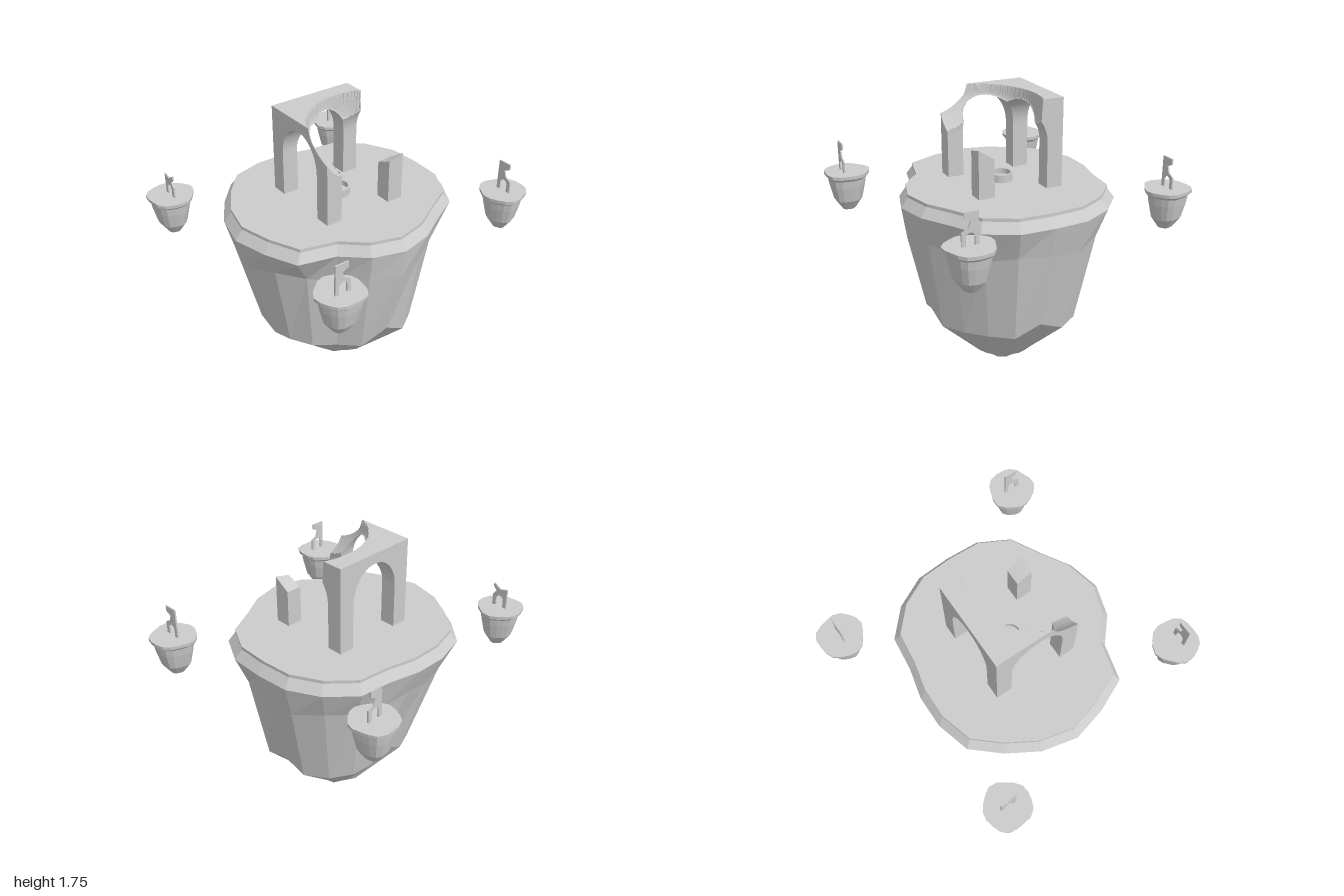
import * as THREE from 'three';

const mat = new THREE.MeshStandardMaterial({ color: 0xcccccc, flatShading: true });
const thinMat = new THREE.MeshStandardMaterial({ color: 0xcccccc, flatShading: true, side: THREE.DoubleSide });

function meshFrom(pos, name) {
  const g = new THREE.BufferGeometry();
  g.setAttribute('position', new THREE.Float32BufferAttribute(pos, 3));
  g.computeVertexNormals();
  const m = new THREE.Mesh(g, mat);
  m.name = name;
  return m;
}

// Push a quad as two triangles, skipping slivers of no area
function quad(pos, a, b, c, d) {
  for (const t of [[a, b, c], [a, c, d]]) {
    const [p, q, r] = t.map((v) => new THREE.Vector3(...v));
    if (q.sub(p).cross(r.sub(p)).length() > 1e-8) pos.push(...t.flat());
  }
}

// Skin between closed rings, listed from top to bottom; each ring maps i to [x, y, z]
function loft(rings, n, name) {
  const pos = [];
  for (let k = 0; k < rings.length - 1; k++) {
    for (let i = 0; i < n; i++) {
      const j = (i + 1) % n;
      quad(pos, rings[k](i), rings[k](j), rings[k + 1](j), rings[k + 1](i));
    }
  }
  return meshFrom(pos, name);
}

const ringOf = (n, radius, height, cx = 0, cz = 0) => (i) => {
  const a = (i / n) * Math.PI * 2;
  return [cx + radius(i) * Math.cos(a), height(i), cz + radius(i) * Math.sin(a)];
};

// Large floating rock: rim, waist and lower shoulder radii every 18 degrees
function mainIsland() {
  const rim = [.685, .655, .605, .73, .72, .742, .725, .71, .725, .68, .645, .63, .71, .72, .72, .70, .725, .72, .655, .67];
  const waist = [.655, .62, .54, .58, .63, .68, .67, .64, .62, .59, .57, .56, .62, .65, .66, .65, .65, .62, .60, .62];
  const low = [.54, .51, .47, .50, .51, .50, .525, .47, .44, .43, .40, .42, .48, .52, .54, .53, .54, .51, .51, .53];
  const lowY = (i) => ({ 0: .44, 5: .29, 10: .40, 15: .40 }[i] ?? .33);
  const n = 20;
  const at = (f, y) => ringOf(n, f, () => y);
  return loft([
    at(() => 0, 1.19),
    at((i) => rim[i] * .935, 1.19),
    at((i) => rim[i] * .935, 1.17),
    at((i) => rim[i], 1.11),
    ringOf(n, (i) => waist[i], (i) => .91 + .02 * Math.sin(i * 2.1)),
    ringOf(n, (i) => low[i], lowY),
    ringOf(n, (i) => .16 + .012 * Math.cos(i * 1.9), () => 0, .015, -.03),
    ringOf(n, () => 0, () => 0, .015, -.03),
  ], n, 'mainIsland');
}

// Vaulted shrine on four legs, with a bowl-shaped bite out of the back right
function ruinedVault() {
  const base = 1.19, roof = 1.755, open = .178, half = .282, cx = .012;
  const legCells = 12, midCells = 48;
  const coords = [];
  for (let k = 0; k < legCells; k++) coords.push(-half + (half - open) * k / legCells);
  for (let k = 0; k <= midCells; k++) coords.push(-open * Math.cos(Math.PI * k / midCells));
  for (let k = 1; k <= legCells; k++) coords.push(open + (half - open) * k / legCells);
  const last = coords.length - 1;
  const arch = (u) => 1.48 + .21 * Math.sqrt(Math.max(0, 1 - (u / open) ** 2));
  const isLeg = (k) => k < legCells || k >= last - legCells;
  const topAt = (x, z) => {
    const h = Math.hypot(x + cx - .27, z + .12) / .43;
    const depth = .31 + 2.6 * (x + cx - .24) * z;
    return h >= 1 ? roof : roof - depth * Math.pow(1 - h * h, .35);
  };
  // Cell corners in order: (x0,z0) (x0,z1) (x1,z1) (x1,z0)
  const makeCell = (i, j) => {
    const pts = [[i, j], [i, j + 1], [i + 1, j + 1], [i + 1, j]].map(([a, b]) => [coords[a], coords[b]]);
    const bot = pts.map(([x, z]) => isLeg(i) && isLeg(j) ? base
      : isLeg(j) ? arch(x) : isLeg(i) ? arch(z) : Math.max(arch(x), arch(z)));
    const top = pts.map(([x, z], k) => Math.max(topAt(x, z), bot[k]));
    return top.some((t, k) => t - bot[k] > .004) ? { pts, bot, top } : null;
  };
  const cells = coords.slice(1).map((_, i) => coords.slice(1).map((__, j) => makeCell(i, j)));
  const pos = [];
  for (let i = 0; i < last; i++) {
    for (let j = 0; j < last; j++) {
      const c = cells[i][j];
      if (!c) continue;
      const p = (k, y) => [c.pts[k][0] + cx, y, c.pts[k][1]];
      quad(pos, ...[0, 1, 2, 3].map((k) => p(k, c.top[k])));
      quad(pos, ...[3, 2, 1, 0].map((k) => p(k, c.bot[k])));
      // Sides: a, b are own corners; na, nb the same corners in the neighbour
      const sides = [[0, 1, 3, 2, -1, 0], [1, 2, 0, 3, 0, 1], [2, 3, 1, 0, 1, 0], [3, 0, 2, 1, 0, -1]];
      for (const [a, b, na, nb, di, dj] of sides) {
        const o = cells[i + di]?.[j + dj];
        const ya = o ? Math.min(o.bot[na], c.top[a]) : c.top[a];
        const yb = o ? Math.min(o.bot[nb], c.top[b]) : c.top[b];
        if (ya < c.bot[a] - 1e-6 || yb < c.bot[b] - 1e-6) continue;
        quad(pos, p(a, c.bot[a]), p(b, c.bot[b]), p(b, yb), p(a, ya));
      }
    }
  }
  return meshFrom(pos, 'ruinedVault');
}

// Shallow round basin under the vault
function basin() {
  const pts = [[.078, 0], [.078, .05], [.065, .05], [.065, .015], [0, .015]].map((p) => new THREE.Vector2(...p));
  const m = new THREE.Mesh(new THREE.LatheGeometry(pts, 32), thinMat);
  m.position.set(.013, 1.19, 0);
  m.name = 'basin';
  return m;
}

// Thin broken archway standing on each small rock
function brokenArch(worn) {
  const crown = worn
    ? [[-.052, .135], [0, .122], [.052, .155], [.052, .13], [.028, .105], [.052, .075]]
    : [[-.05, .195], [.037, .195], [.037, .16], [-.002, .14], [.012, .1], [.052, .08]];
  const s = new THREE.Shape();
  s.moveTo(-.027, 0);
  s.lineTo(-.052, 0);
  crown.forEach(([x, y]) => s.lineTo(x, y));
  s.lineTo(.052, 0);
  s.lineTo(.027, 0);
  s.lineTo(.027, .05);
  s.absarc(0, .05, .027, 0, Math.PI, false);
  s.lineTo(-.027, 0);
  const g = new THREE.ExtrudeGeometry(s, { depth: .01, bevelEnabled: false, curveSegments: 8 });
  g.translate(0, 0, -.005);
  const m = new THREE.Mesh(g, thinMat);
  m.name = 'brokenArch';
  return m;
}

// Small floating rock: overhanging rim slab above a rounded, tapering body
function smallIsland(seed) {
  const n = 18, group = new THREE.Group();
  const wob = (i) => 1 + .04 * Math.sin(i * Math.PI * 2 * 5 / n + seed) + .03 * Math.sin(i * Math.PI * 2 * 3 / n + seed * 2);
  const profile = [[0, 1.19], [.146, 1.19], [.144, 1.168], [.124, 1.15], [.116, 1.1], [.092, 1.0], [.045, .933], [0, .933]];
  group.add(loft(profile.map(([r, y]) => ringOf(n, (i) => r * wob(i), () => y)), n, 'smallRock'));
  return group;
}

export function createModel() {
  const model = new THREE.Group();
  model.name = 'floatingIslands';
  model.add(mainIsland(), ruinedVault(), basin());

  // x, z, arch turn, worn crown, arch shift in x
  const spots = [
    [.612, -.855, 0, false, 0],
    [-.842, -.595, Math.PI / 2, false, 0],
    [-.588, .855, 0, true, .008],
    [.84, .60, Math.PI / 2, false, .026],
  ];
  spots.forEach(([x, z, turn, worn, shift], k) => {
    const island = smallIsland(k * 1.7);
    const archway = brokenArch(worn);
    archway.position.set(shift, 1.188, 0);
    archway.rotation.y = turn;
    island.add(archway);
    island.position.set(x, 0, z);
    island.name = 'smallIsland';
    model.add(island);
  });
  return model;
}
